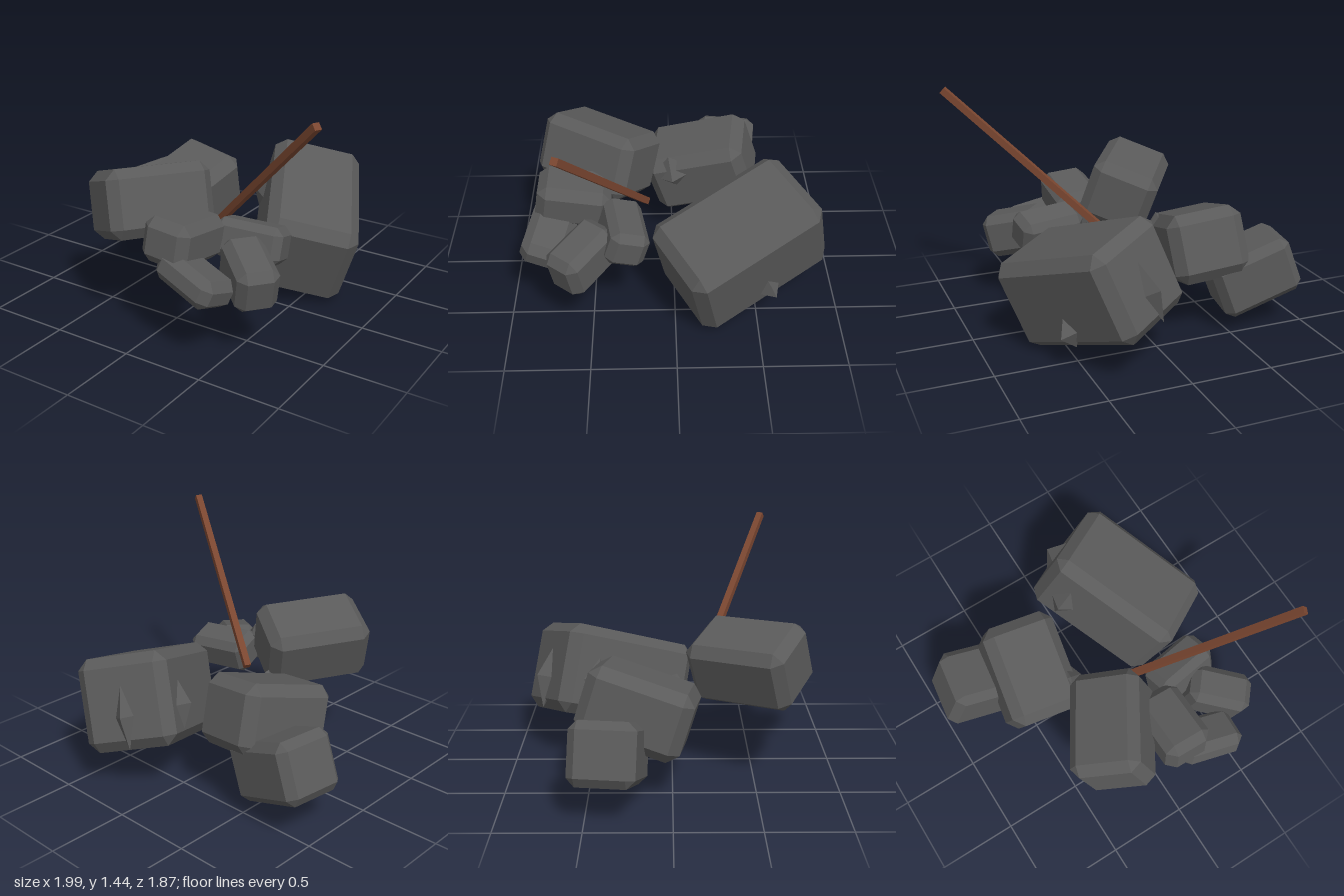
import * as THREE from 'three';
import { ConvexGeometry } from 'three/addons/geometries/ConvexGeometry.js';

const stone = new THREE.MeshStandardMaterial({ color: 0x5a5a5a, flatShading: true });
const wood = new THREE.MeshStandardMaterial({ color: 0x7a4630, flatShading: true });

// Box with all edges and corners cut off at distance c
function chamferedBox([a, b, d], c) {
  const points = [];
  for (const x of [-1, 1]) for (const y of [-1, 1]) for (const z of [-1, 1]) {
    points.push(
      new THREE.Vector3(x * a, y * (b - c), z * (d - c)),
      new THREE.Vector3(x * (a - c), y * b, z * (d - c)),
      new THREE.Vector3(x * (a - c), y * (b - c), z * d));
  }
  return new ConvexGeometry(points);
}

// Turns an object so its local x and z axes follow the given directions
function orient(object, xDir, zDir) {
  const z = new THREE.Vector3(...zDir).normalize();
  const y = new THREE.Vector3().crossVectors(z, new THREE.Vector3(...xDir)).normalize();
  const x = new THREE.Vector3().crossVectors(y, z);
  object.quaternion.setFromRotationMatrix(new THREE.Matrix4().makeBasis(x, y, z));
}

// Boulders: centre, half sizes, chamfer, x direction, z direction,
// and shards [position, half sizes] poking out of the faces
const boulders = [
  { name: 'largeBoulder', at: [0.39, 0.43, -0.4], half: [0.285, 0.285, 0.455], c: 0.065,
    x: [0.85, -0.24, -0.46], z: [0.42, -0.315, 0.85],
    shards: [[[0.28, -0.16, 0], [0.08, 0.1, 0.07]],
      [[0, -0.08, -0.45], [0.06, 0.2, 0.08]],
      [[-0.28, -0.06, -0.25], [0.07, 0.16, 0.09]]] },
  { name: 'upperBoulder', at: [-0.195, 0.715, 0.467], half: [0.22, 0.205, 0.325], c: 0.06,
    x: [0.8, 0.34, 0.48], z: [-0.53, 0.05, 0.85] },
  { name: 'middleBoulder', at: [-0.405, 0.5, -0.2], half: [0.235, 0.212, 0.325], c: 0.065,
    x: [0.97, -0.14, 0.16], z: [-0.17, -0.285, 0.94],
    shards: [[[0.19, 0.1, 0.14], [0.1, 0.13, 0.16]]] },
  { name: 'outerBoulder', at: [-0.69, 0.335, -0.365], half: [0.26, 0.185, 0.195], c: 0.05,
    x: [0.92, -0.35, 0.135], z: [-0.14, 0.01, 0.99] },
  { name: 'topPebble', at: [0.14, 0.61, 0.615], half: [0.155, 0.135, 0.225], c: 0.055,
    x: [0.99, -0.08, 0], z: [0, 0.15, 0.99] },
  { name: 'frontPebble', at: [0.315, 0.455, 0.76], half: [0.21, 0.09, 0.14], c: 0.05,
    x: [0.94, -0.26, 0.2], z: [-0.12, 0.3, 0.95] },
  { name: 'sidePebble', at: [0.54, 0.46, 0.55], half: [0.2, 0.14, 0.125], c: 0.05,
    x: [0.74, -0.25, 0.62], z: [-0.65, 0, 0.76] },
  { name: 'rearPebble', at: [0.41, 0.54, 0.31], half: [0.21, 0.115, 0.12], c: 0.045,
    x: [0.98, -0.05, -0.18], z: [0.17, 0.3, 0.94] },
];

export function createModel() {
  const model = new THREE.Group();
  model.name = 'rockPile';

  for (const { name, at, half, c, x, z, shards = [] } of boulders) {
    const boulder = new THREE.Group();
    boulder.name = name;
    boulder.position.set(...at);
    orient(boulder, x, z);
    const body = new THREE.Mesh(chamferedBox(half, c), stone);
    body.name = name + 'Body';
    boulder.add(body);
    for (const [position, size] of shards) {
      const shard = new THREE.Mesh(new THREE.OctahedronGeometry(1), stone);
      shard.name = 'shard';
      shard.position.set(...position);
      shard.scale.set(...size);
      boulder.add(shard);
    }
    model.add(boulder);
  }

  // Square wooden stick leaning out of the pebbles
  const foot = new THREE.Vector3(0.085, 0.535, 0.17);
  const tip = new THREE.Vector3(0.968, 1.418, 0.62);
  const stick = new THREE.Mesh(new THREE.BoxGeometry(0.042, 0.042, foot.distanceTo(tip)), wood);
  stick.name = 'stick';
  stick.position.copy(foot).add(tip).multiplyScalar(0.5);
  orient(stick, [0.45, 0, -0.89], tip.clone().sub(foot).toArray());
  model.add(stick);

  return model;
}
